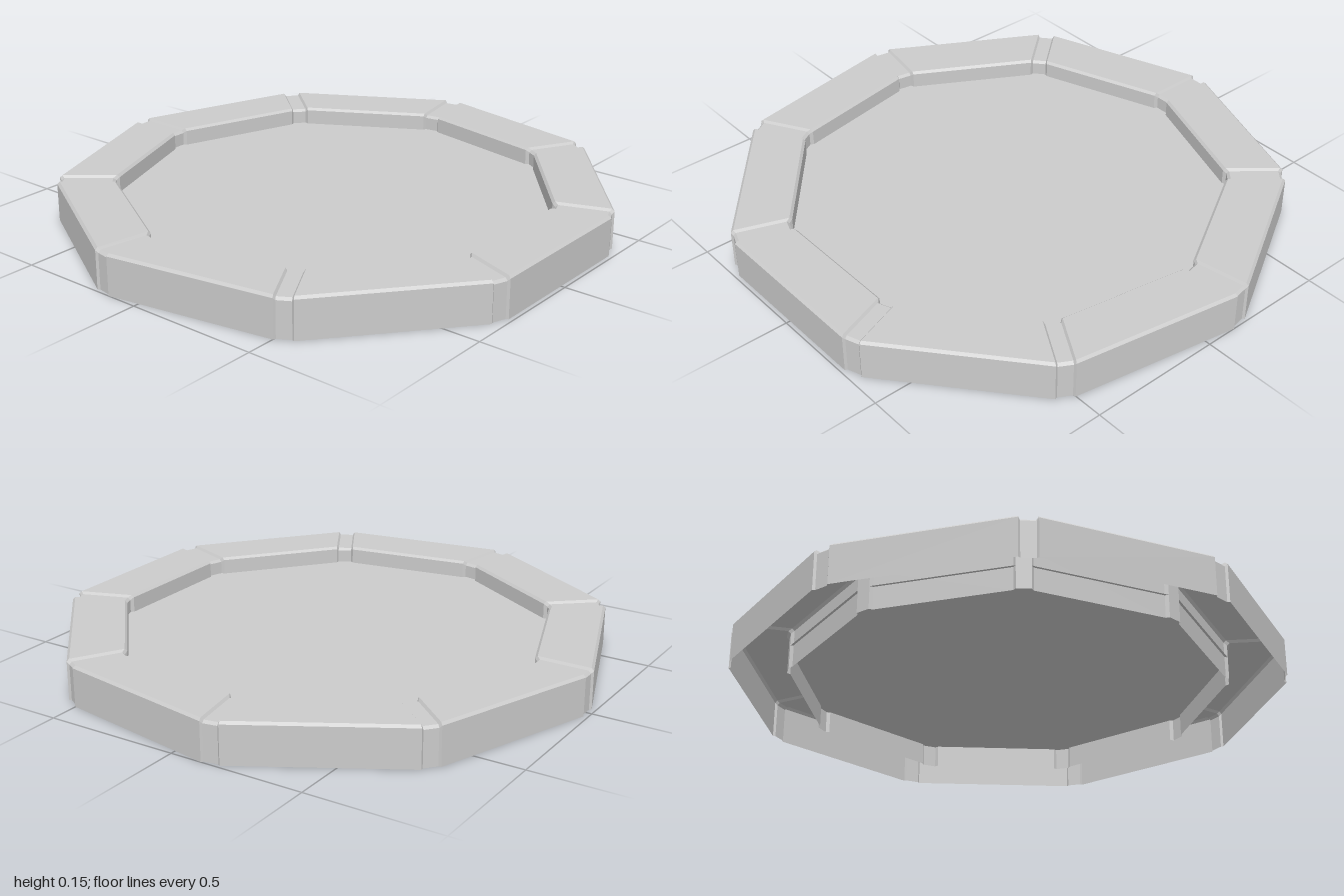
import * as THREE from 'three';

const SIDES = 9, STEP = (Math.PI * 2) / SIDES, HALF = STEP / 2;
const OUTER = 0.96, INNER = 0.755, HEIGHT = 0.15, BEVEL = 0.009;
const FLOOR_Y = 0.084, CENTRE_X = 0.025;

const material = new THREE.MeshStandardMaterial({
  color: 0xcccccc, flatShading: true, side: THREE.DoubleSide,
});

// Open-bottomed wall section as [distance from centre, height], shrunk by inset
function profile(inset) {
  const o = OUTER - inset, i = INNER + inset, h = HEIGHT - inset;
  return [[o, 0], [o, h - BEVEL], [o - BEVEL, h], [i + BEVEL, h], [i, h - BEVEL], [i, 0]];
}

// Section at one end (-1 or 1) of side k, held back from the corner by gap
function section(k, end, gap, inset) {
  const a = k * STEP, c = Math.cos(a), s = Math.sin(a);
  return profile(inset).map(([r, y]) => {
    const t = end * (r * Math.tan(HALF) - gap / Math.cos(HALF));
    return new THREE.Vector3(r * c - t * s, y, r * s + t * c);
  });
}

// Skin a row of matching sections
function loft(sections) {
  const points = [];
  for (let i = 0; i + 1 < sections.length; i++) {
    const p = sections[i], q = sections[i + 1];
    for (let j = 0; j + 1 < p.length; j++) {
      points.push(p[j], p[j + 1], q[j], q[j], p[j + 1], q[j + 1]);
    }
  }
  const geometry = new THREE.BufferGeometry().setFromPoints(points);
  geometry.computeVertexNormals();
  return geometry;
}

export function createModel() {
  const model = new THREE.Group();
  model.name = 'nineSidedTray';
  const add = (geometry, name) => {
    const mesh = new THREE.Mesh(geometry, material);
    mesh.name = name;
    mesh.position.x = CENTRE_X;
    model.add(mesh);
    return mesh;
  };

  const outline = [];
  for (let k = 0; k < SIDES; k++) {
    const start = section(k, -1, 0.026, BEVEL);
    const finish = section(k, 1, 0.026, BEVEL);
    // Rim block with bevelled ends
    add(loft([start, section(k, -1, 0.033, 0), section(k, 1, 0.033, 0), finish]), 'rimBlock' + (k + 1));
    // Recessed joint between neighbouring blocks
    add(loft([finish, section(k + 1, -1, 0.026, BEVEL)]), 'rimJoint' + (k + 1));
    for (const p of [start[5], finish[5]]) outline.push(new THREE.Vector2(p.x, -p.z));
  }

  // Raised floor panel inside the rim
  const floor = new THREE.ShapeGeometry(new THREE.Shape(outline));
  floor.rotateX(-Math.PI / 2);
  add(floor, 'floorPanel').position.y = FLOOR_Y;

  return model;
}
